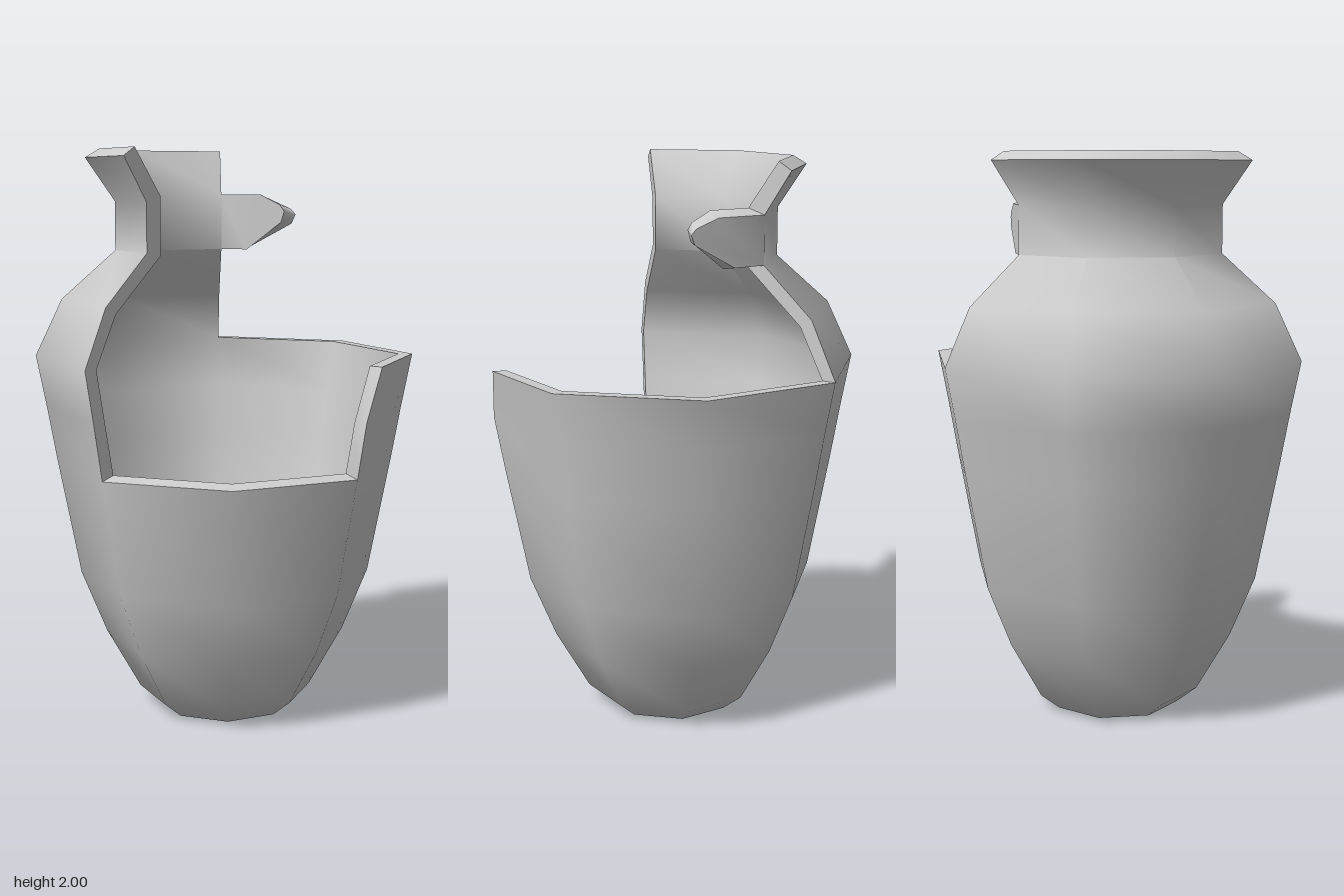
import * as THREE from 'three';
import { toCreasedNormals } from 'three/addons/utils/BufferGeometryUtils.js';

// Wall profile, bottom to rim: outer y, outer radius, inner y, inner radius
const PROFILE = [
  [0, 0.235, 0.05, 0.2], [0.06, 0.31, 0.09, 0.27], [0.27, 0.43, 0.29, 0.38],
  [0.49, 0.52, 0.5, 0.47], [0.905, 0.6, 0.92, 0.55], [1.1, 0.635, 1.1, 0.585],
  [1.28, 0.67, 1.28, 0.62], [1.48, 0.575, 1.455, 0.53], [1.65, 0.385, 1.64, 0.32],
  [1.82, 0.385, 1.84, 0.32], [1.97, 0.487, 2.0, 0.437],
];
const SIDES = 8;
const CENTRE_Z = 0.03;
// Rows still standing on each side, counted from the back towards +x
const HEIGHTS = [6, 6, 5, 4, 4, 10, 10, 10];

// Point on the wall at side position c and profile row v; layer 0 = outer, 1 = inner
function wallPoint([c, v], layer) {
  const row = Math.min(Math.floor(v), PROFILE.length - 2);
  const mix = (k) => THREE.MathUtils.lerp(PROFILE[row][k], PROFILE[row + 1][k], v - row);
  const y = mix(layer * 2), r = mix(layer * 2 + 1);
  const corner = (i) => {
    const a = (i * Math.PI * 2) / SIDES;
    return new THREE.Vector3(r * Math.sin(a), y, CENTRE_Z - r * Math.cos(a));
  };
  const side = Math.floor(c);
  return corner(side).lerp(corner(side + 1), c - side);
}

function vaseGeometry() {
  const cells = [];
  HEIGHTS.forEach((top, c) => {
    for (let v = 0; v < top; v++) cells.push([[c, v], [c, v + 1], [c + 1, v + 1], [c + 1, v]]);
  });
  // Slanted break at the front right corner
  cells.push([[2, 5], [2, 6], [2.84, 6], [3, 5]]);
  // Pointed shard left on the neck
  cells.push([[0, 8], [0, 9], [0.63, 9], [0.93, 8.82], [1, 8.7], [0.95, 8.5], [0.41, 8]]);

  const positions = [];
  const face = (...pts) => {
    for (let i = 1; i < pts.length - 1; i++) {
      for (const p of [pts[0], pts[i], pts[i + 1]]) positions.push(p.x, p.y, p.z);
    }
  };
  const key = ([c, v]) => `${c % SIDES},${v}`;
  const edges = new Map();

  // Outer and inner skins
  for (const cell of cells) {
    face(...cell.map((p) => wallPoint(p, 0)));
    face(...cell.map((p) => wallPoint(p, 1)).reverse());
    cell.forEach((a, i) => {
      const b = cell[(i + 1) % cell.length];
      edges.set(`${key(a)}|${key(b)}`, [a, b]);
    });
  }

  // Base and floor close the bottom; every other open edge gets a broken-edge face
  const base = new THREE.Vector3(0, PROFILE[0][0], CENTRE_Z);
  const floor = new THREE.Vector3(0, PROFILE[0][2], CENTRE_Z);
  for (const [a, b] of edges.values()) {
    if (edges.has(`${key(b)}|${key(a)}`)) continue;
    const [oa, ob, ia, ib] = [wallPoint(a, 0), wallPoint(b, 0), wallPoint(a, 1), wallPoint(b, 1)];
    if (a[1] === 0 && b[1] === 0) {
      face(ob, oa, base);
      face(ia, ib, floor);
    } else {
      face(ob, oa, ia, ib);
    }
  }

  const geometry = new THREE.BufferGeometry();
  geometry.setAttribute('position', new THREE.Float32BufferAttribute(positions, 3));
  return toCreasedNormals(geometry, 1.05);
}

export function createModel() {
  const group = new THREE.Group();
  group.name = 'brokenVase';
  const material = new THREE.MeshStandardMaterial({ color: 0xcccccc });
  const vase = new THREE.Mesh(vaseGeometry(), material);
  vase.name = 'vaseBody';
  group.add(vase);
  return group;
}
